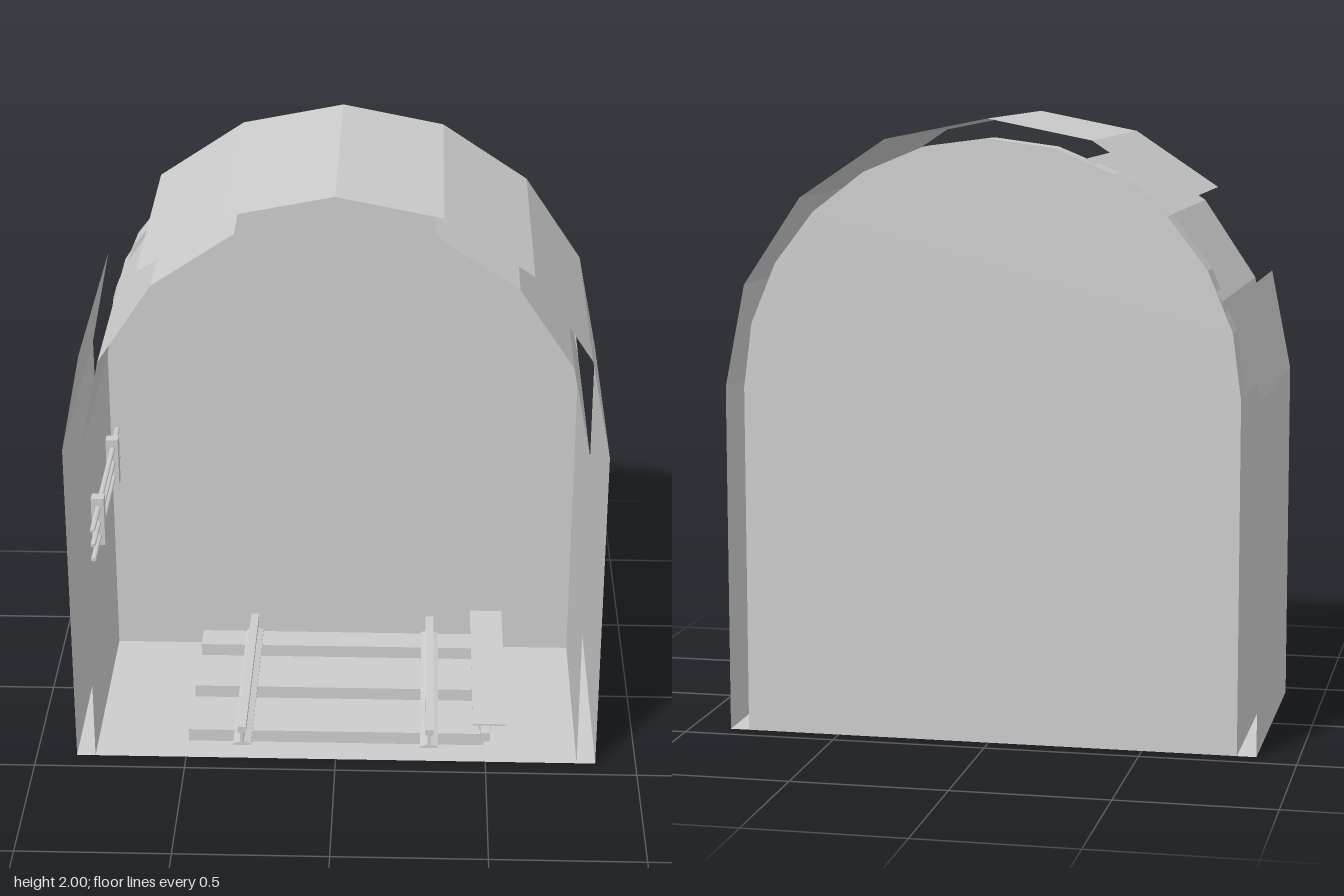
import * as THREE from 'three';

const SPRING = 1.134;            // height where the arch begins
const HALF = 0.433;              // half length of the section
const OUTER = 0.866, INNER = 0.804;
const WALL_Z = -0.33;            // front face of the end wall

// Arch outline from right foot over the crown to the left foot
function archPoints(r, segments) {
  const pts = [new THREE.Vector2(r, 0)];
  for (let i = 0; i <= segments; i++) {
    const a = (i / segments) * Math.PI;
    pts.push(new THREE.Vector2(r * Math.cos(a), SPRING + r * Math.sin(a)));
  }
  pts.push(new THREE.Vector2(-r, 0));
  return pts;
}

// Open shell of flat panels, leaving out the listed ones
function shellGeometry(r, skip) {
  const pts = archPoints(r, 8), pos = [];
  for (let i = 0; i < pts.length - 1; i++) {
    if (skip.includes(i)) continue;
    const p = pts[i], q = pts[i + 1];
    const a = [p.x, p.y, HALF], b = [p.x, p.y, -HALF];
    const c = [q.x, q.y, -HALF], d = [q.x, q.y, HALF];
    pos.push(...a, ...b, ...c, ...a, ...c, ...d);
  }
  const g = new THREE.BufferGeometry();
  g.setAttribute('position', new THREE.Float32BufferAttribute(pos, 3));
  g.computeVertexNormals();
  return g;
}

export function createModel() {
  const model = new THREE.Group();
  model.name = 'tunnelSection';
  const grey = new THREE.MeshStandardMaterial({ color: 0xcccccc, side: THREE.DoubleSide, flatShading: true });
  grey.name = 'concreteGrey';

  function add(name, geometry, parent = model) {
    const m = new THREE.Mesh(geometry, grey);
    m.name = name;
    parent.add(m);
    return m;
  }
  // Box given by its limits on each axis
  function box(name, x0, x1, y0, y1, z0, z1, parent = model) {
    const m = add(name, new THREE.BoxGeometry(x1 - x0, y1 - y0, z1 - z0), parent);
    m.position.set((x0 + x1) / 2, (y0 + y1) / 2, (z0 + z1) / 2);
    return m;
  }
  function group(name) {
    const g = new THREE.Group();
    g.name = name;
    model.add(g);
    return g;
  }

  // Tunnel shells with their open panels
  add('outerShell', shellGeometry(OUTER, [7]));
  add('innerLining', shellGeometry(INNER, [4, 5]));

  // Floor
  add('floor', new THREE.PlaneGeometry(2 * OUTER, 2 * HALF).rotateX(-Math.PI / 2));

  // Solid end wall
  const wall = add('endWall', new THREE.ExtrudeGeometry(
    new THREE.Shape(archPoints(INNER, 12)), { depth: WALL_Z + HALF, bevelEnabled: false }));
  wall.position.z = -HALF;

  // Sleepers
  const sleeperZ = [0.285, 0, -0.285];
  const sleepers = group('sleepers');
  for (const z of sleeperZ) box('sleeper', -0.498, 0.495, 0.006, 0.05, z - 0.055, z + 0.055, sleepers);

  // Running rails: foot, web and head in one profile
  const half = [[0.03, 0.05], [0.03, 0.056], [0.006, 0.063], [0.006, 0.097], [0.014, 0.1], [0.014, 0.121]];
  const profile = [...half, ...half.map(([x, y]) => [-x, y]).reverse()].map(([x, y]) => new THREE.Vector2(x, y));
  for (const side of [-1, 1]) {
    const rail = add(side > 0 ? 'leftRail' : 'rightRail', new THREE.ExtrudeGeometry(
      new THREE.Shape(profile), { depth: HALF - WALL_Z, bevelEnabled: false }));
    rail.position.set(side * 0.312, 0, WALL_Z);
  }

  // Power rail with supports and a cover board
  const power = group('powerRail');
  box('conductor', 0.483, 0.513, 0.08, 0.112, WALL_Z, HALF, power);
  box('coverBoard', 0.455, 0.567, 0.141, 0.147, WALL_Z, HALF, power);
  for (const z of sleeperZ) {
    box('insulator', 0.478, 0.508, 0.05, 0.08, z - 0.03, z + 0.03, power);
    box('footBracket', 0.505, 0.518, 0.03, 0.08, z - 0.03, z + 0.03, power);
    box('coverHanger', 0.552, 0.561, 0.062, 0.141, z - 0.02, z + 0.02, power);
  }

  // Cables on wall brackets
  const cables = group('wallCables');
  for (const z of [0.25, -0.19]) box('cableBracket', -INNER, -0.762, 0.71, 0.88, z - 0.02, z + 0.02, cables);
  for (const y of [0.743, 0.795, 0.848]) {
    const cable = add('cable', new THREE.CylinderGeometry(0.009, 0.009, HALF - WALL_Z, 8).rotateX(Math.PI / 2), cables);
    cable.scale.y = 0.7;
    cable.position.set(-0.781, y, (HALF + WALL_Z) / 2);
  }
  return model;
}
